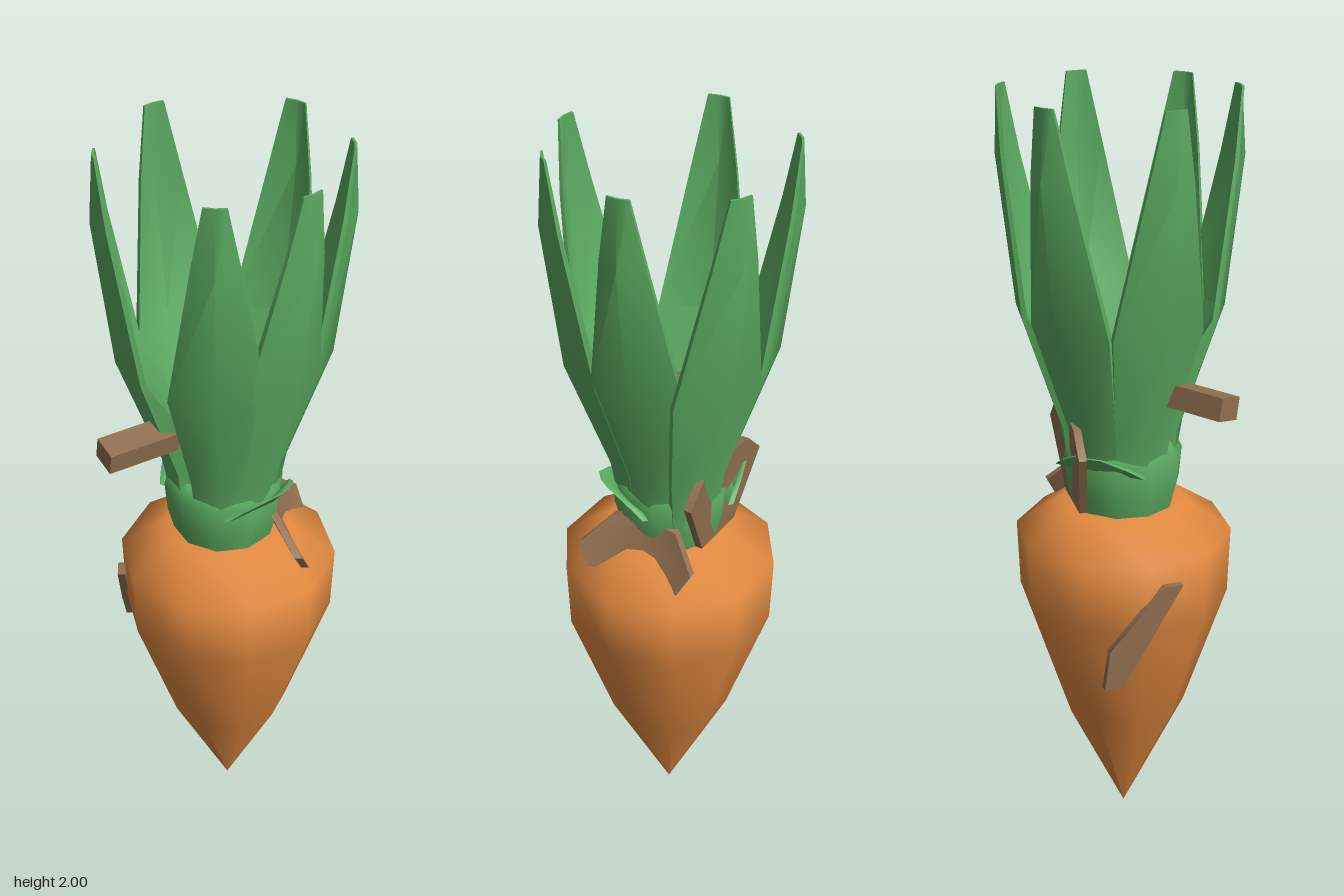
import * as THREE from 'three';
import { toCreasedNormals } from 'three/addons/utils/BufferGeometryUtils.js';

const paint = (name, color) => {
  const m = new THREE.MeshStandardMaterial({ color });
  m.name = name;
  return m;
};

// Curved blade: each station is [height, radius at midrib, half width, fold depth, thickness, sideways shift]
function bladeGeometry(stations) {
  const pos = [];
  const index = [];
  for (const [y, r, w, fold, t = 0.014, x = 0] of stations) {
    const s = r - fold;
    pos.push(x - w, y, s, x, y, r, x + w, y, s, x + w, y, s - t, x, y, r - t, x - w, y, s - t);
  }
  const quad = (a, b, c, d) => index.push(a, b, c, a, c, d);
  for (let i = 0; i < stations.length - 1; i++) {
    for (let j = 0; j < 6; j++) {
      const k = (j + 1) % 6;
      quad(i * 6 + j, i * 6 + k, i * 6 + 6 + k, i * 6 + 6 + j);
    }
  }
  const e = (stations.length - 1) * 6;
  quad(e, e + 1, e + 4, e + 5);
  quad(e + 1, e + 2, e + 3, e + 4);
  quad(5, 4, 1, 0);
  quad(4, 3, 2, 1);
  const g = new THREE.BufferGeometry();
  g.setAttribute('position', new THREE.Float32BufferAttribute(pos, 3));
  g.setIndex(index);
  return toCreasedNormals(g, 1.0);
}

export function createModel() {
  const root = new THREE.Group();
  root.name = 'carrot';
  const orange = paint('carrot orange', 0xe28a40);
  const green = paint('leaf green', 0x5cac62);
  const brown = paint('dry brown', 0x917050);

  const add = (name, geometry, material) => {
    const mesh = new THREE.Mesh(geometry, material);
    mesh.name = name;
    root.add(mesh);
    return mesh;
  };
  // Blade turned towards an angle measured from +x to +z
  const blade = (name, stations, degrees, material) => {
    const mesh = add(name, bladeGeometry(stations), material);
    mesh.rotation.y = THREE.MathUtils.degToRad(90 - degrees);
    return mesh;
  };
  const lathe = (name, profile, sides, material) =>
    add(name, new THREE.LatheGeometry(profile.map(([r, y]) => new THREE.Vector2(r, y)), sides), material);

  // Root
  const body = lathe('root', [[0, 0], [0.165, 0.34], [0.278, 0.68], [0.284, 0.86], [0.165, 0.94], [0, 0.945]], 10, orange);
  body.position.set(0.01, 0, -0.015);
  body.rotation.y = Math.PI / 10 + 0.05;

  // Collar holding the leaves
  const collar = lathe('collar', [[0.13, 0.93], [0.148, 1.0], [0.155, 1.08], [0.13, 1.12], [0, 1.12]], 10, green);
  collar.position.z = -0.01;

  // Tall leaves, thick at the base and thin at the tip
  const leaf = [
    [0.98, 0.13, 0.06, 0.02, 0.08], [1.15, 0.16, 0.075, 0.035, 0.1], [1.45, 0.268, 0.12, 0.055, 0.014],
    [1.83, 0.312, 0.058, 0.035, 0.01], [2.0, 0.3, 0.027, 0.004, 0.006],
  ];
  for (const a of [-101, -49, 6, 50, 130, 191]) {
    const mesh = blade('leaf', leaf, a, green);
    mesh.position.z = a === -101 ? -0.025 : -0.012;
  }

  // Short inner sprouts, front and back
  const sprout = [[1.1, 0.09, 0.06, 0.02], [1.25, 0.11, 0.06, 0.02], [1.4, 0.125, 0.028, 0.005, 0.006]];
  blade('backSprout', sprout, -94, green);
  blade('frontSprout', sprout.map(([y, r, w, f, t]) => [y - 0.03, r - 0.02, w * 0.8, f, t]), 88, green);

  // Side leaflets poking out of the collar
  const leaflet = [[1.06, 0.13, 0.125, 0.01], [1.085, 0.165, 0.095, 0.02], [1.12, 0.192, 0.035, 0.005, 0.008]];
  for (const a of [0, 180]) {
    blade('sideLeaflet', leaflet, a, green).position.z = -0.02;
  }

  // Stick pushed through the leaves: [width, height, depth, y, z, tilt]
  const stick = new THREE.Group();
  stick.name = 'stick';
  stick.position.set(-0.035, 1.273, 0.11);
  stick.rotation.set(0, -0.25, -0.2);
  root.add(stick);
  const segments = [
    [0.07, 0.058, 0.4, 0, 0.015, 0],
    [0.1, 0.07, 0.18, -0.02, -0.1, 0],
    [0.1, 0.05, 0.07, -0.005, -0.18, 0.5],
  ];
  for (const [w, h, d, y, z, tilt] of segments) {
    const part = new THREE.Mesh(new THREE.BoxGeometry(w, h, d), brown);
    part.name = 'stickSegment';
    part.position.set(0, y, z);
    part.rotation.x = tilt;
    stick.add(part);
  }

  // Dry husks, partly sunk into the collar, the shoulder and the flank
  blade('backHusk', [[0.95, 0.145, 0.08, 0, 0.02], [1.13, 0.15, 0.17, -0.015, 0.02], [1.19, 0.155, 0.11, -0.01, 0.02]], -130, brown);
  blade('shoulderHusk', [[0.89, 0.18, 0.13, -0.045, 0.02], [0.945, 0.155, 0.16, -0.05, 0.02], [1.02, 0.13, 0.09, -0.02, 0.02]], -45, brown);
  blade('flankHusk', [[0.54, 0.265, 0.025, 0, 0.02, -0.127], [0.65, 0.272, 0.05, 0, 0.02, -0.09], [0.81, 0.275, 0.025, 0, 0.02, 0.03]], 135, brown);

  return root;
}
